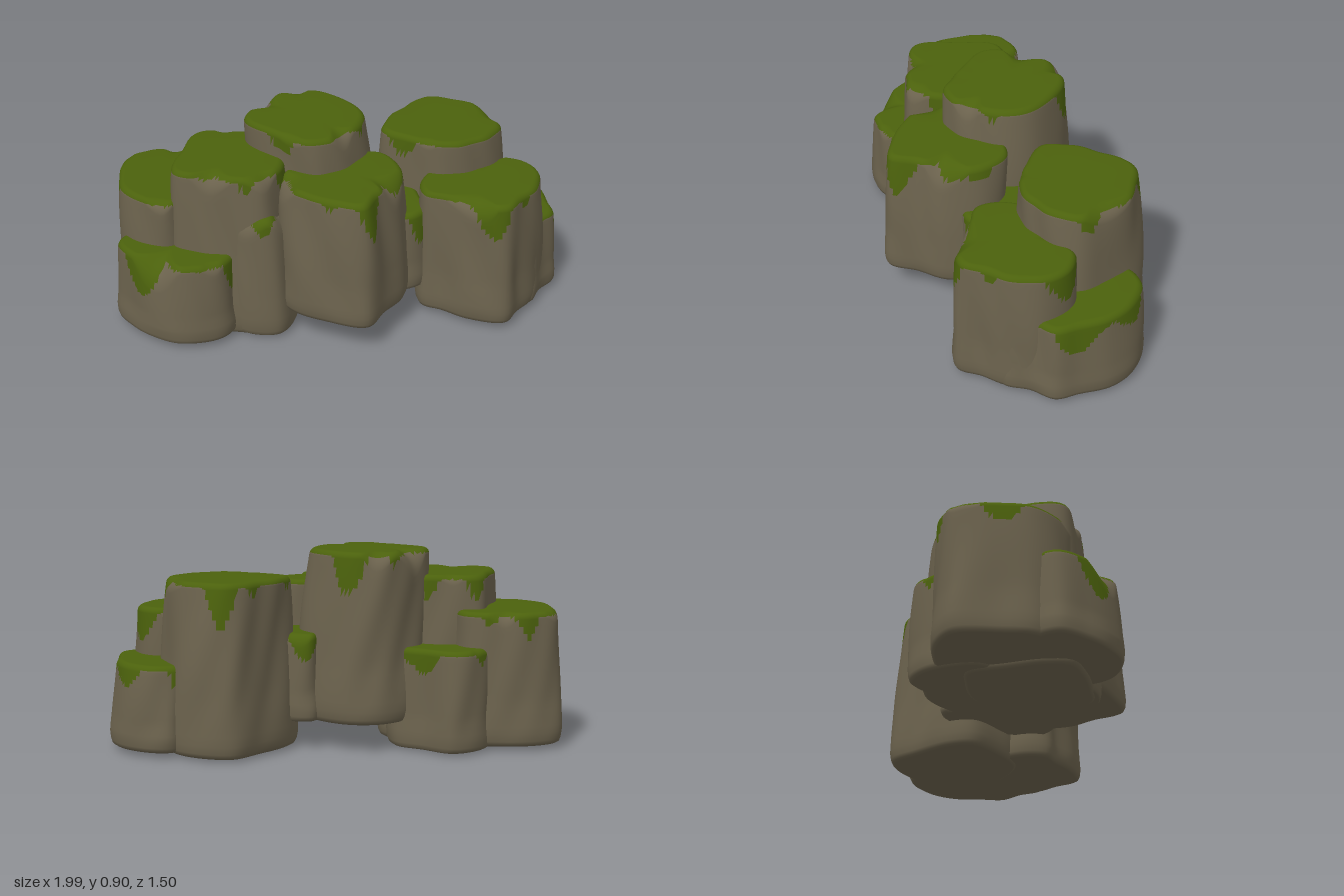
import * as THREE from 'three';

const stone = new THREE.MeshStandardMaterial({ color: 0x6b624d });
stone.name = 'stone';
const moss = new THREE.MeshStandardMaterial({ color: 0x4b610c });
moss.name = 'moss';

const COLUMNS = 88;

// smooth repeatable noise, about -1 to 1
const noise = (x, y, z) =>
  (Math.sin(x * 9 + y * 4 + 1.3) + Math.sin(z * 11 - y * 3 + x * 5) + Math.sin((x - z) * 17 + y * 5 + 0.7)) / 3;

// One boulder: a closed outline in x,z lofted from bottom to top with a rounded
// shoulder. The faces near the top go to the moss material.
function boulder(name, bottom, top, taper, lean, outline) {
  const curve = new THREE.CatmullRomCurve3(
    outline.map(([x, z]) => new THREE.Vector3(x, 0, z)), true, 'centripetal');
  const loop = curve.getSpacedPoints(COLUMNS).slice(0, COLUMNS);
  const area = loop.reduce((sum, p, i) => {
    const q = loop[(i + 1) % COLUMNS];
    return sum + p.x * q.z - q.x * p.z;
  }, 0);
  if (area > 0) loop.reverse();
  const box = new THREE.Box3().setFromPoints(loop);
  const centre = box.getCenter(new THREE.Vector3());
  const height = top - bottom;

  // shoulder size of each column: mostly tight, broken off wider in places
  const shoulder = loop.map(p => 0.028 + 0.13 * Math.max(0, noise(p.x + top, 2, p.z) - 0.2));
  // how far the moss hangs down each column
  const drip = loop.map(p => 0.02 + 0.2 * Math.max(0, noise(p.x * 1.3, top * 9, p.z * 1.3) - 0.12));

  const rings = [];
  const wall = (i, y) => {
    const t = (y - bottom) / height;
    const p = loop[i];
    const narrow = 1 - (1 - taper) * Math.pow(Math.max(0, (t - 0.15) / 0.85), 1.6);
    const gouge = 1 - 0.035 * (1 + noise(p.x * 1.6 + top, y * 2, p.z * 1.6)) * Math.min(1, t * 3);
    return narrow * gouge;
  };
  const addRing = fn => rings.push(loop.map((p, i) => {
    const [s, y] = fn(i, Math.hypot(p.x - centre.x, p.z - centre.z));
    const t = (y - bottom) / height;
    return [centre.x + (p.x - centre.x) * s + lean[0] * t * t, y,
      centre.z + (p.z - centre.z) * s + lean[1] * t * t];
  }));

  // underside and its rounded edge
  for (const [s, y] of [[0.5, 0], [0.9, 0], [0.95, 0.008], [0.975, 0.025]]) addRing(() => [s, bottom + y]);
  // wall
  for (let k = 0; k <= 16; k++) {
    addRing(i => {
      const y = bottom + 0.06 + (top - shoulder[i] - bottom - 0.06) * k / 16;
      return [wall(i, y), y];
    });
  }
  // shoulder
  for (let k = 1; k <= 6; k++) {
    const a = k / 6 * Math.PI / 2;
    addRing((i, r) => {
      const c = shoulder[i], y = top - c + c * Math.sin(a);
      return [wall(i, y) - c * (1 - Math.cos(a)) / r, y];
    });
  }
  // flat top
  for (const f of [0.7, 0.35]) addRing((i, r) => [(wall(i, top) - shoulder[i] / r) * f, top]);

  const positions = rings.flat(2);
  const count = rings.length * COLUMNS;
  positions.push(centre.x, bottom, centre.z, centre.x + lean[0], top, centre.z + lean[1]);

  const stoneFaces = [], mossFaces = [];
  const face = (column, a, b, c) => {
    const y = (positions[a * 3 + 1] + positions[b * 3 + 1] + positions[c * 3 + 1]) / 3;
    (y > top - drip[column] ? mossFaces : stoneFaces).push(a, b, c);
  };
  for (let i = 0; i < COLUMNS; i++) {
    const j = (i + 1) % COLUMNS;
    face(i, count, j, i);
    for (let r = 0; r < rings.length - 1; r++) {
      const a = r * COLUMNS + i, b = r * COLUMNS + j;
      face(i, a, b, b + COLUMNS);
      face(i, a, b + COLUMNS, a + COLUMNS);
    }
    const last = (rings.length - 1) * COLUMNS;
    face(i, last + i, last + j, count + 1);
  }

  const geometry = new THREE.BufferGeometry();
  geometry.setAttribute('position', new THREE.Float32BufferAttribute(positions, 3));
  geometry.setIndex([...stoneFaces, ...mossFaces]);
  geometry.addGroup(0, stoneFaces.length, 0);
  geometry.addGroup(stoneFaces.length, mossFaces.length, 1);
  geometry.computeVertexNormals();
  const mesh = new THREE.Mesh(geometry, [stone, moss]);
  mesh.name = name;
  return mesh;
}

function cluster(name, ...rocks) {
  const group = new THREE.Group();
  group.name = name;
  group.add(...rocks);
  return group;
}

export function createModel() {
  const model = new THREE.Group();
  model.name = 'mossyRocks';

  // back cluster on the left side
  model.add(cluster('backCluster',
    boulder('backTallRock', 0.01, 0.785, 0.88, [-0.01, 0.015], [
      [0.11, -0.32], [0.16, -0.52], [0.22, -0.68], [0.36, -0.72], [0.52, -0.69], [0.66, -0.57],
      [0.73, -0.46], [0.68, -0.28], [0.52, -0.13], [0.3, -0.14], [0.14, -0.2]]),
    boulder('backMiddleRock', 0.02, 0.63, 0.95, [-0.01, 0], [
      [0.42, -0.25], [0.4, -0.05], [0.46, 0.05], [0.56, 0.06], [0.7, 0.09], [0.88, 0.06],
      [0.91, -0.06], [0.95, -0.18], [0.94, -0.35], [0.8, -0.46], [0.55, -0.4]]),
    boulder('backLowRock', 0.02, 0.41, 0.93, [-0.01, 0.01], [
      [0.5, -0.7], [0.58, -0.75], [0.76, -0.73], [0.88, -0.64], [0.95, -0.5], [1, -0.4],
      [0.96, -0.28], [0.94, -0.15], [0.75, -0.15], [0.55, -0.3]])));

  // raised middle cluster
  model.add(cluster('middleCluster',
    boulder('middleTallRock', 0.13, 0.905, 0.9, [-0.03, 0.02], [
      [-0.4, 0.02], [-0.37, -0.14], [-0.3, -0.26], [-0.17, -0.32], [0, -0.29], [0.15, -0.19],
      [0.21, -0.06], [0.18, 0.12], [0.08, 0.26], [-0.05, 0.28], [-0.2, 0.24], [-0.36, 0.15]]),
    boulder('middleFrontRock', 0.13, 0.745, 0.93, [-0.025, -0.01], [
      [-0.13, 0.3], [-0.09, 0.42], [0, 0.48], [0.15, 0.5], [0.36, 0.48], [0.39, 0.33],
      [0.43, 0.18], [0.38, 0], [0.25, -0.08], [0.05, 0], [-0.05, 0.15]]),
    boulder('middleLowRock', 0.13, 0.53, 0.95, [0, 0], [
      [0, -0.3], [0.05, -0.34], [0.18, -0.32], [0.33, -0.22], [0.43, -0.08], [0.48, 0],
      [0.43, 0.1], [0.3, 0.15], [0.1, 0]])));

  // front cluster on the right side
  model.add(cluster('frontCluster',
    boulder('frontTallRock', 0, 0.785, 0.9, [-0.01, -0.01], [
      [-0.65, 0.1], [-0.64, 0.28], [-0.62, 0.45], [-0.56, 0.56], [-0.42, 0.57], [-0.25, 0.54],
      [-0.11, 0.49], [-0.08, 0.3], [-0.14, 0.1], [-0.35, 0], [-0.54, 0.04]]),
    boulder('frontSideRock', 0.02, 0.63, 0.94, [0.01, 0], [
      [-1, 0.2], [-0.92, 0.08], [-0.77, 0], [-0.6, -0.03], [-0.5, 0.1], [-0.5, 0.4],
      [-0.58, 0.58], [-0.7, 0.58], [-0.85, 0.51], [-0.93, 0.38]]),
    boulder('frontLowRock', 0.02, 0.41, 0.95, [0, -0.015], [
      [-0.84, 0.6], [-0.72, 0.69], [-0.6, 0.735], [-0.45, 0.745], [-0.3, 0.66], [-0.255, 0.56],
      [-0.3, 0.4], [-0.55, 0.35], [-0.81, 0.45]]),
    boulder('rearLowRock', 0.01, 0.47, 0.95, [0, 0], [
      [-0.72, -0.04], [-0.62, -0.18], [-0.45, -0.15], [-0.3, -0.12], [-0.2, 0.1],
      [-0.4, 0.25], [-0.68, 0.2]]),
    boulder('innerLowRock', 0.01, 0.6, 0.9, [-0.02, 0], [
      [-0.32, 0.25], [-0.3, 0.5], [-0.2, 0.54], [-0.06, 0.49], [-0.04, 0.35], [-0.1, 0.2]])));

  return model;
}
